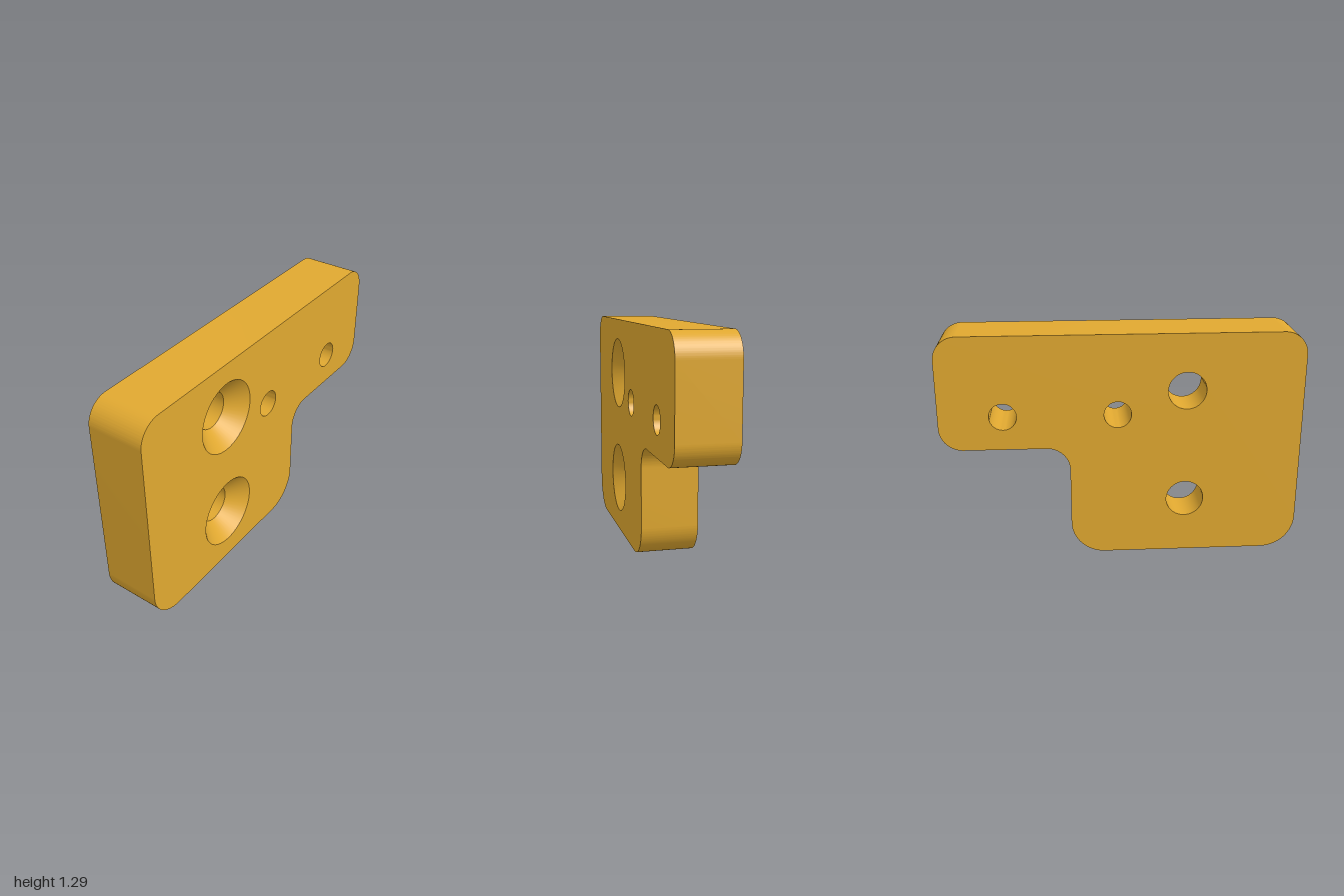
import * as THREE from 'three';
import { toCreasedNormals } from 'three/addons/utils/BufferGeometryUtils.js';

const HALF = 0.16; // half thickness
const HEIGHT = 1.29;
const SEG = 24;

// Countersunk screw holes and plain pin holes
const screwHoles = [[-0.355, 0.97], [-0.355, 0.325]];
const pinHoles = [[0.025, 0.84], [0.65, 0.84]];
const SINK_R = 0.205, SCREW_R = 0.105, PIN_R = 0.075;

// Outline corners, counter-clockwise: x, y, fillet radius
const corners = [
  [-1, 0, 0.19], [0.29, 0, 0.19], [0.29, 0.65, 0.13],
  [1, 0.65, 0.13], [1, HEIGHT, 0.13], [-1, HEIGHT, 0.13],
];

// L-shaped outline with every corner rounded by a tangent arc
function outline() {
  const shape = new THREE.Shape();
  const pts = corners.map(([x, y]) => new THREE.Vector2(x, y));
  const n = pts.length;
  pts.forEach((p, i) => {
    const r = corners[i][2];
    const dIn = p.clone().sub(pts[(i + n - 1) % n]).normalize();
    const dOut = pts[(i + 1) % n].clone().sub(p).normalize();
    const start = p.clone().addScaledVector(dIn, -r);
    const c = start.clone().addScaledVector(dOut, r);
    const end = p.clone().addScaledVector(dOut, r);
    if (i === 0) shape.moveTo(start.x, start.y);
    else shape.lineTo(start.x, start.y);
    shape.absarc(c.x, c.y, r,
      Math.atan2(start.y - c.y, start.x - c.x),
      Math.atan2(end.y - c.y, end.x - c.x),
      dIn.cross(dOut) < 0);
  });
  shape.closePath();
  return shape;
}

// Flat face of the plate, pierced by the holes
function face(z, screwRadius, flip) {
  const shape = outline();
  const pierce = ([x, y], r) => {
    const hole = new THREE.Path();
    hole.absarc(x, y, r, 0, Math.PI * 2, true);
    shape.holes.push(hole);
  };
  screwHoles.forEach((p) => pierce(p, screwRadius));
  pinHoles.forEach((p) => pierce(p, PIN_R));
  const geo = new THREE.ShapeGeometry(shape, SEG);
  if (flip) geo.index.array.reverse();
  geo.translate(0, 0, z);
  geo.computeVertexNormals();
  return geo;
}

// Wall running around the outline
function rim() {
  const pts = outline().getPoints(SEG);
  const pos = [];
  pts.forEach((a, i) => {
    const b = pts[(i + 1) % pts.length];
    if (a.distanceTo(b) < 1e-6) return;
    pos.push(a.x, a.y, -HALF, b.x, b.y, -HALF, b.x, b.y, HALF);
    pos.push(a.x, a.y, -HALF, b.x, b.y, HALF, a.x, a.y, HALF);
  });
  const geo = new THREE.BufferGeometry();
  geo.setAttribute('position', new THREE.Float32BufferAttribute(pos, 3));
  return toCreasedNormals(geo, 0.6);
}

// Inward-facing bore; the profile runs from front to back as [radius, z]
function bore(profile) {
  const geo = new THREE.LatheGeometry(profile.map(([r, z]) => new THREE.Vector2(r, z)), SEG * 2);
  geo.rotateX(Math.PI / 2);
  return toCreasedNormals(geo, 0.6);
}

export function createModel() {
  const group = new THREE.Group();
  group.name = 'mountingPlate';
  const material = new THREE.MeshStandardMaterial({ color: 0xe0a830 });
  const add = (name, geo, x = 0, y = 0) => {
    const mesh = new THREE.Mesh(geo, material);
    mesh.name = name;
    mesh.position.set(x, y, 0);
    group.add(mesh);
  };

  add('frontFace', face(HALF, SINK_R, false));
  add('backFace', face(-HALF, SCREW_R, true));
  add('rim', rim());

  const screwBore = bore([[SINK_R, HALF], [SCREW_R, HALF - 0.1], [SCREW_R, -HALF]]);
  const pinBore = bore([[PIN_R, HALF], [PIN_R, -HALF]]);
  screwHoles.forEach(([x, y]) => add('countersunkHole', screwBore, x, y));
  pinHoles.forEach(([x, y]) => add('pinHole', pinBore, x, y));
  return group;
}
